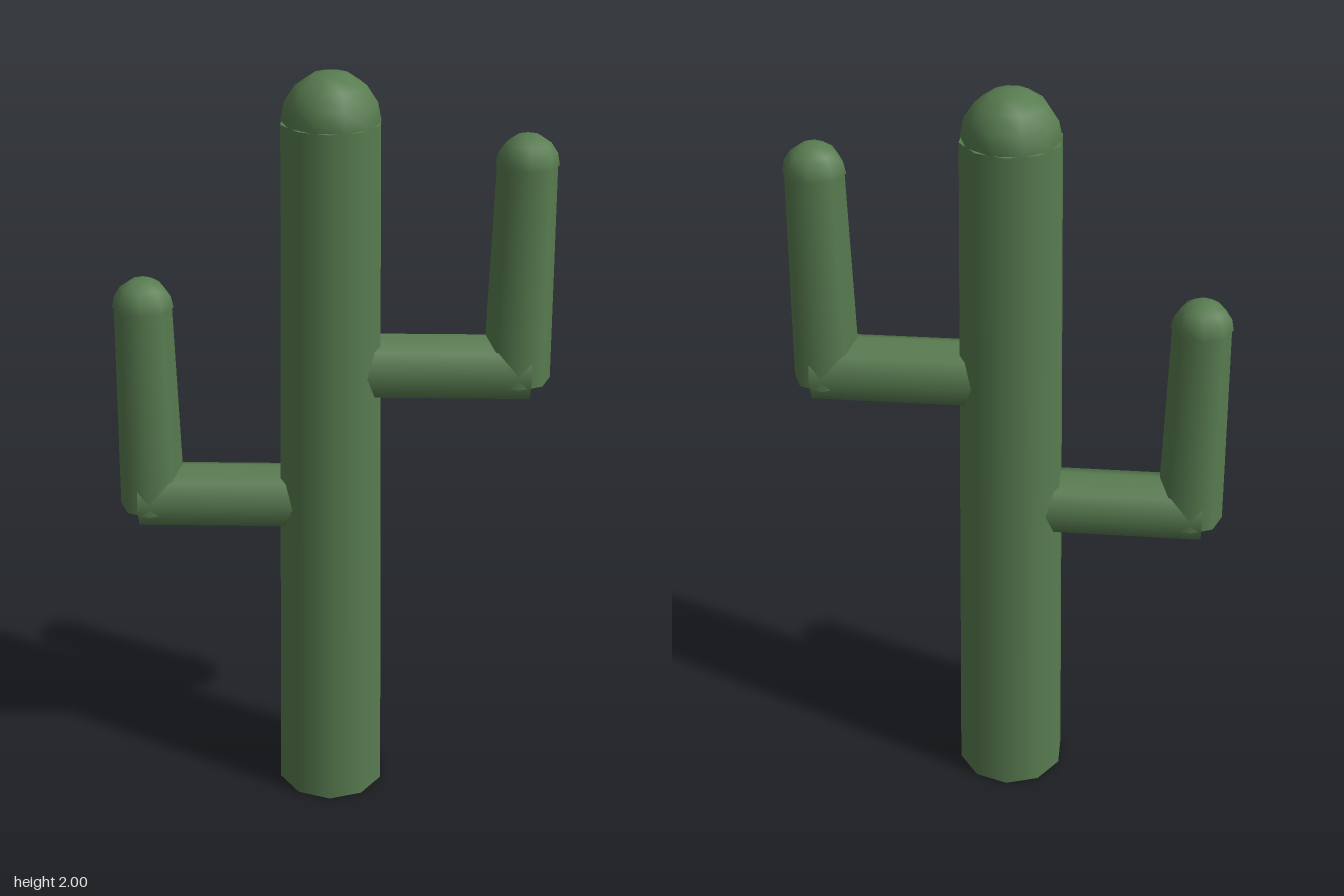
import * as THREE from 'three';

const green = new THREE.MeshStandardMaterial({ color: 0x587c50 });
green.name = 'cactus green';

// Tapered upright stem with a rounded tip, standing on local y = 0
function makeStem(name, rBottom, rTop, height, rDome, sides) {
  const stem = new THREE.Group();
  stem.name = name;
  const body = new THREE.Mesh(new THREE.CylinderGeometry(rTop, rBottom, height, sides), green);
  body.name = name + 'Body';
  body.position.y = height / 2;
  const tip = new THREE.Mesh(
    new THREE.SphereGeometry(rDome, sides, 4, 0, Math.PI * 2, 0, Math.PI / 2), green);
  tip.name = name + 'Tip';
  tip.position.y = height;
  stem.add(body, tip);
  return stem;
}

// Arm: a level branch out of the trunk and an upright stem at its end
function makeArm(name, side, branchY) {
  const arm = new THREE.Group();
  arm.name = name;
  const inner = 0.08, outer = 0.5;
  const branch = new THREE.Mesh(
    new THREE.CylinderGeometry(0.087, 0.087, outer - inner, 8), green);
  branch.name = name + 'Branch';
  branch.rotation.z = Math.PI / 2;
  branch.position.set(side * (inner + outer) / 2, branchY, 0);
  const stem = makeStem(name + 'Stem', 0.085, 0.073, 0.553, 0.077, 8);
  stem.position.set(side * 0.469, branchY - 0.028, 0);
  arm.add(branch, stem);
  return arm;
}

export function createModel() {
  const cactus = new THREE.Group();
  cactus.name = 'cactus';
  cactus.add(
    makeStem('trunk', 0.148, 0.124, 1.88, 0.12, 10),
    makeArm('leftArm', 1, 1.251),
    makeArm('rightArm', -1, 0.879)
  );
  return cactus;
}
